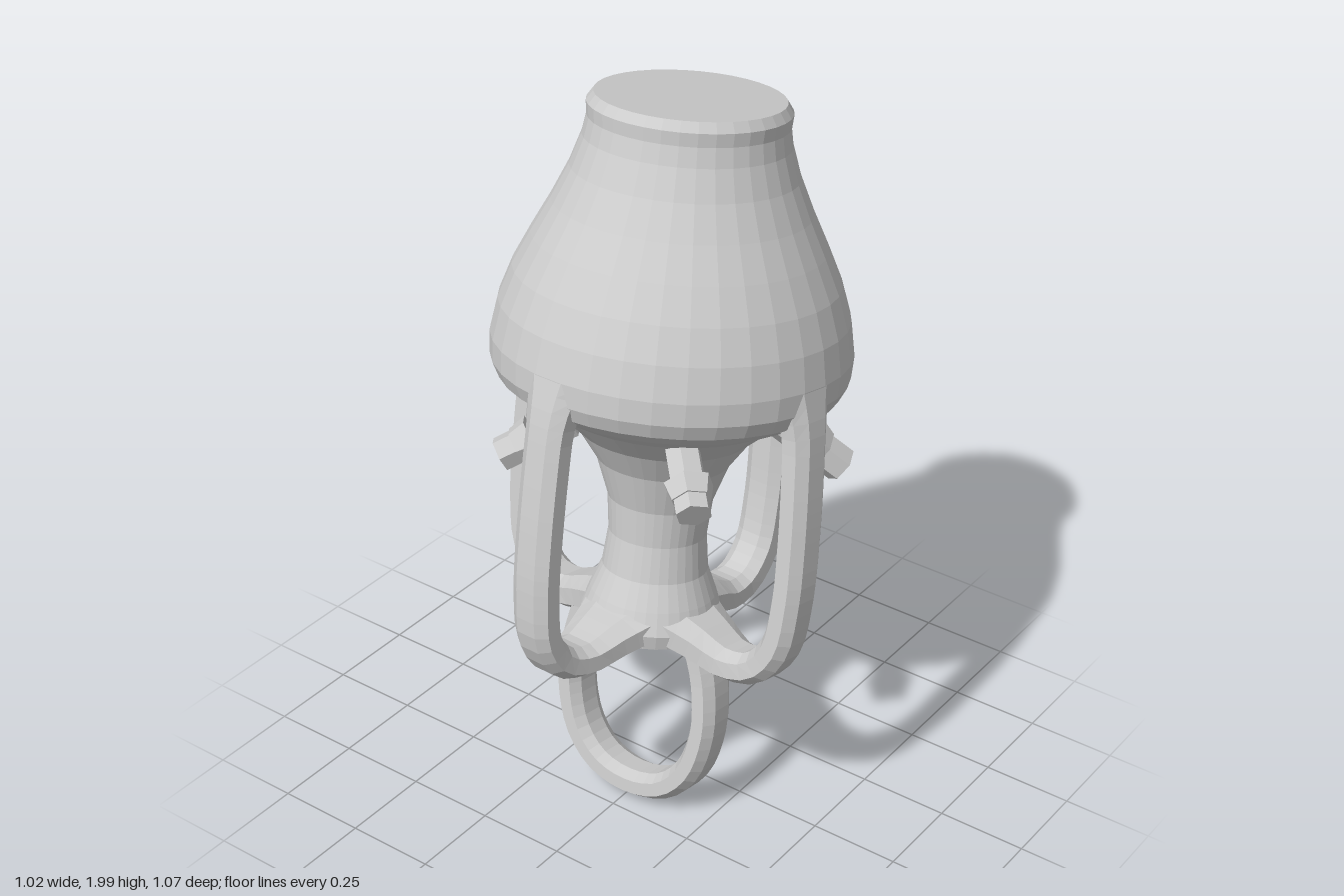
import * as THREE from 'three';

const grey = new THREE.MeshStandardMaterial({ color: 0xcccccc, flatShading: true });

function part(name, geometry) {
  const mesh = new THREE.Mesh(geometry, grey);
  mesh.name = name;
  return mesh;
}

// Sweeps a chamfered bar along a path in the XY plane; width runs along z.
// startFlare and endFlare fan the bar out where it meets the body.
function sweepBar(points, thickness, width, steps, startFlare, endFlare) {
  const curve = new THREE.CatmullRomCurve3(points.map(([x, y]) => new THREE.Vector3(x, y, 0)), false, 'centripetal');
  const section = [[1, -0.5], [1, 0.5], [0.5, 1], [-0.5, 1], [-1, 0.5], [-1, -0.5], [-0.5, -1], [0.5, -1]];
  const n = section.length;
  const positions = [];
  const index = [];
  for (let i = 0; i <= steps; i++) {
    const u = i / steps;
    const p = curve.getPointAt(u);
    const t = curve.getTangentAt(u);
    const flare = startFlare * Math.max(0, 1 - u * 7) ** 2 + endFlare * Math.max(0, 1 - (1 - u) * 3.2) ** 2;
    for (const [a, b] of section) {
      const d = a * thickness / 2 * (1 + flare * 0.3);
      positions.push(p.x - t.y * d, p.y + t.x * d, b * width / 2 * (1 + flare));
    }
  }
  for (let i = 0; i < steps; i++) {
    for (let j = 0; j < n; j++) {
      const a = i * n + j, b = i * n + (j + 1) % n;
      index.push(a, b, b + n, a, b + n, a + n);
    }
  }
  // end caps
  const last = steps * n;
  for (let j = 1; j < n - 1; j++) {
    index.push(0, j + 1, j, last, last + j, last + j + 1);
  }
  const g = new THREE.BufferGeometry();
  g.setAttribute('position', new THREE.Float32BufferAttribute(positions, 3));
  g.setIndex(index);
  g.computeVertexNormals();
  return g;
}

// Faceted peg between two points, with an optional collar near its tip.
function makePeg(name, from, to, radius, sides, collar) {
  const a = new THREE.Vector3(...from);
  const b = new THREE.Vector3(...to);
  const length = a.distanceTo(b);
  const peg = new THREE.Group();
  peg.name = name;
  const shaft = part('pegShaft', new THREE.CylinderGeometry(radius, radius, length, sides));
  shaft.position.y = length / 2;
  peg.add(shaft);
  if (collar) {
    const ring = part('pegCollar', new THREE.CylinderGeometry(radius * 1.1, radius * 1.4, 0.05, sides));
    ring.position.y = length * 0.65;
    peg.add(ring);
  }
  peg.position.copy(a);
  peg.quaternion.setFromUnitVectors(new THREE.Vector3(0, 1, 0), b.sub(a).normalize());
  return peg;
}

export function createModel() {
  const model = new THREE.Group();
  model.name = 'cagedVessel';

  // everything but the pegs shares one leaning axis
  const leaning = new THREE.Group();
  leaning.name = 'leaningBody';
  leaning.position.set(0.02, 0, 0.165);
  leaning.quaternion.setFromUnitVectors(
    new THREE.Vector3(0, 1, 0), new THREE.Vector3(-0.035, 1, -0.168).normalize());
  model.add(leaning);

  // bulbous top, undercut and waisted column in one turned profile
  const profile = [
    [0, 0.515], [0.13, 0.51], [0.18, 0.53], [0.19, 0.57], [0.17, 0.63], [0.142, 0.7],
    [0.131, 0.8], [0.14, 0.9], [0.178, 1.01], [0.232, 1.09], [0.31, 1.16], [0.395, 1.205],
    [0.448, 1.24], [0.467, 1.28], [0.47, 1.34], [0.454, 1.43], [0.423, 1.52], [0.38, 1.61],
    [0.334, 1.7], [0.293, 1.79], [0.266, 1.87], [0.257, 1.92], [0.26, 1.955], [0.243, 1.98], [0, 1.98],
  ].map(([r, y]) => new THREE.Vector2(r, y));
  leaning.add(part('vessel', new THREE.LatheGeometry(profile, 36)));

  // four arms from the belly down and back in to the column foot
  const armPath = [
    [0.42, 1.33], [0.444, 1.23], [0.457, 1.08], [0.464, 0.92], [0.463, 0.76], [0.44, 0.62],
    [0.375, 0.54], [0.29, 0.522], [0.2, 0.55], [0.09, 0.585],
  ];
  const armGeometry = sweepBar(armPath, 0.085, 0.12, 28, 0.5, 1.2);
  ['leftArm', 'backArm', 'rightArm', 'frontArm'].forEach((name, k) => {
    const arm = part(name, armGeometry);
    arm.rotation.y = THREE.MathUtils.degToRad(k * 90 - 5);
    leaning.add(arm);
  });

  // oval hanging loop under the foot
  const half = [[0.17, 0.56], [0.2, 0.48], [0.22, 0.38], [0.222, 0.27], [0.185, 0.145], [0.11, 0.068]];
  const loopPath = [...half, [0, 0.042], ...half.map(([x, y]) => [-x, y]).reverse()];
  const loop = part('loop', sweepBar(loopPath, 0.074, 0.122, 36, 0.2, 0.2));
  loop.position.x = -0.008;
  leaning.add(loop);

  // pegs sprouting from the undercut between the arms
  model.add(
    makePeg('largePeg', [-0.15, 1.08, -0.18], [-0.31, 0.925, -0.345], 0.088, 8, false),
    makePeg('backPeg', [0.19, 1.15, -0.15], [0.36, 0.965, -0.28], 0.05, 6, true),
    makePeg('frontLeftPeg', [0.18, 1.17, 0.18], [0.305, 1.09, 0.305], 0.047, 6, true),
    makePeg('frontRightPeg', [-0.19, 1.12, 0.16], [-0.325, 1.03, 0.29], 0.047, 6, true),
  );
  return model;
}
